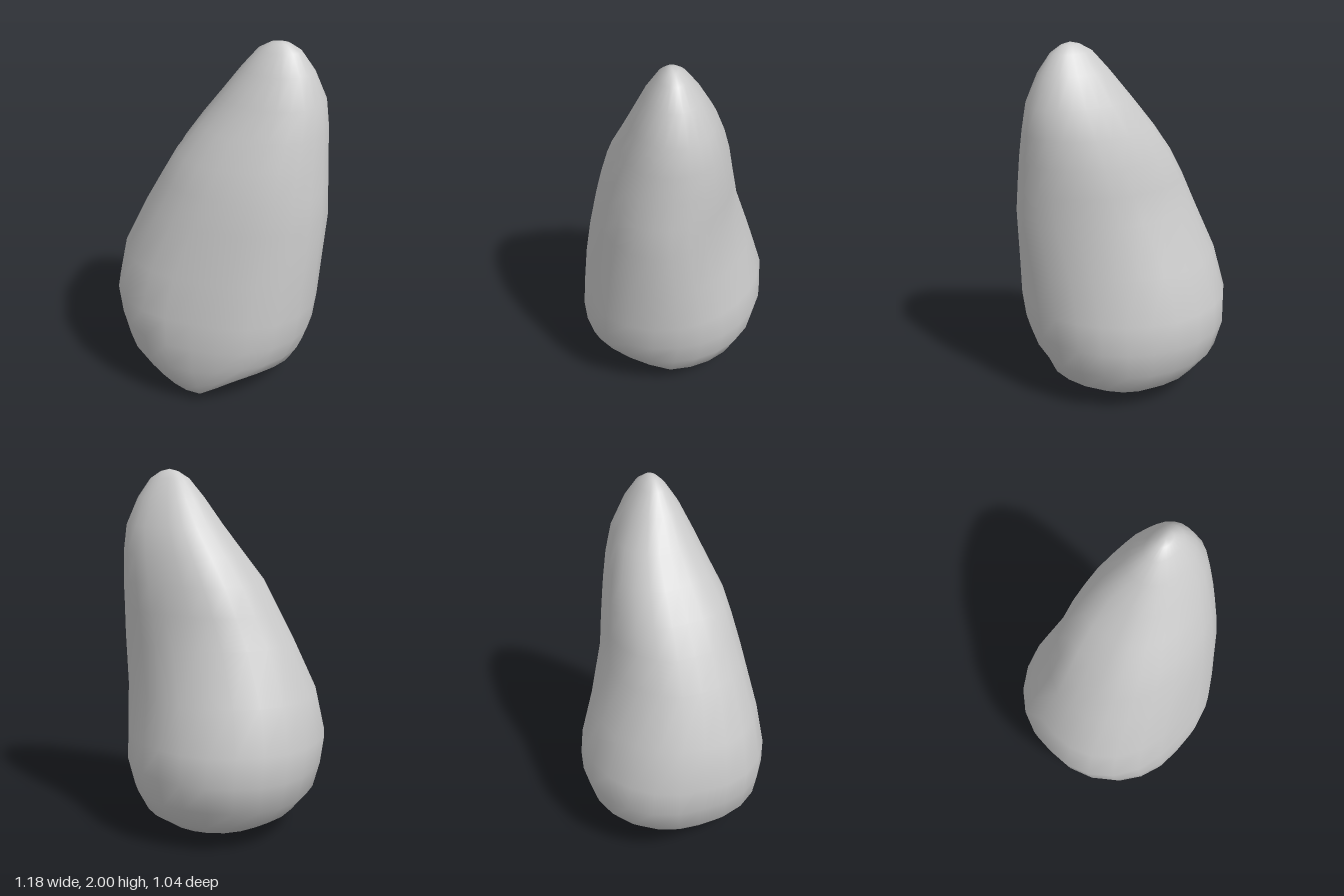
import * as THREE from 'three';

// Cross-sections of the boulder: [y, xMin, xMax, zMin, zMax]
const LEVELS = [
  [0.004, -0.16, 0.03, -0.12, 0.16],
  [0.02, -0.22, 0.14, -0.18, 0.35],
  [0.06, -0.32, 0.32, -0.31, 0.45],
  [0.13, -0.43, 0.42, -0.41, 0.48],
  [0.25, -0.53, 0.48, -0.485, 0.51],
  [0.4, -0.57, 0.525, -0.523, 0.515],
  [0.56, -0.59, 0.545, -0.515, 0.503],
  [0.8, -0.54, 0.565, -0.445, 0.47],
  [1.08, -0.41, 0.59, -0.352, 0.425],
  [1.25, -0.315, 0.583, -0.32, 0.388],
  [1.4, -0.225, 0.575, -0.29, 0.345],
  [1.55, -0.12, 0.565, -0.253, 0.285],
  [1.7, -0.01, 0.545, -0.205, 0.225],
  [1.85, 0.1, 0.48, -0.13, 0.155],
  [1.95, 0.185, 0.41, -0.06, 0.09],
  [1.988, 0.25, 0.35, -0.015, 0.05],
];
const SIDES = 24;

// Swellings and hollows on the diagonals: [degrees from +x to +z, centre y, spread, amount]
const LOBES = [
  [-45, 0.85, 0.45, -0.12],
  [135, 0.6, 0.4, 0.05],
  [135, 1.42, 0.15, 0.05],
  [45, 0.55, 0.4, 0.07],
  [-135, 1.5, 0.4, 0.12],
  [-135, 0.3, 0.2, 0.03],
];

const bell = (y, centre, spread) => Math.exp(-(((y - centre) / spread) ** 2));

// 1 along the given direction, fading to 0 at 45 degrees either side
function lobe(angle, degrees) {
  const c = Math.cos(angle - THREE.MathUtils.degToRad(degrees));
  return c > 0 ? Math.max(0, 2 * c * c - 1) : 0;
}

function sectionPoint([y, x0, x1, z0, z1], angle) {
  const c = Math.cos(angle), s = Math.sin(angle);
  const n = 2.1;
  let r = Math.pow(Math.abs(c) ** n + Math.abs(s) ** n, -1 / n);
  for (const [degrees, centre, spread, amount] of LOBES) {
    r *= 1 + amount * lobe(angle, degrees) * bell(y, centre, spread);
  }
  // The underside is cut away upwards at the front corner
  const lift = 0.1 * lobe(angle, 45) * bell(y, 0, 0.25);
  return [(x0 + x1) / 2 + r * c * (x1 - x0) / 2, y + lift, (z0 + z1) / 2 + r * s * (z1 - z0) / 2];
}

function loft() {
  const pos = [], index = [];
  for (const level of LEVELS) {
    for (let i = 0; i < SIDES; i++) pos.push(...sectionPoint(level, (i / SIDES) * Math.PI * 2));
  }
  const bottom = pos.length / 3, top = bottom + 1;
  pos.push(-0.07, 0, 0, 0.3, 2, 0.02);
  const last = (LEVELS.length - 1) * SIDES;
  for (let i = 0; i < SIDES; i++) {
    const j = (i + 1) % SIDES;
    for (let k = 0; k < last; k += SIDES) {
      const a = k + i, b = k + j, c = a + SIDES, d = b + SIDES;
      index.push(a, c, b, b, c, d);
    }
    // Closing fans at the base and the tip
    index.push(bottom, i, j, top, last + j, last + i);
  }
  const geometry = new THREE.BufferGeometry();
  geometry.setAttribute('position', new THREE.Float32BufferAttribute(pos, 3));
  geometry.setIndex(index);
  geometry.computeVertexNormals();
  return geometry;
}

export function createModel() {
  const group = new THREE.Group();
  group.name = 'standingStone';
  const stone = new THREE.Mesh(loft(), new THREE.MeshStandardMaterial({ color: 0xcccccc }));
  stone.name = 'boulder';
  group.add(stone);
  return group;
}
